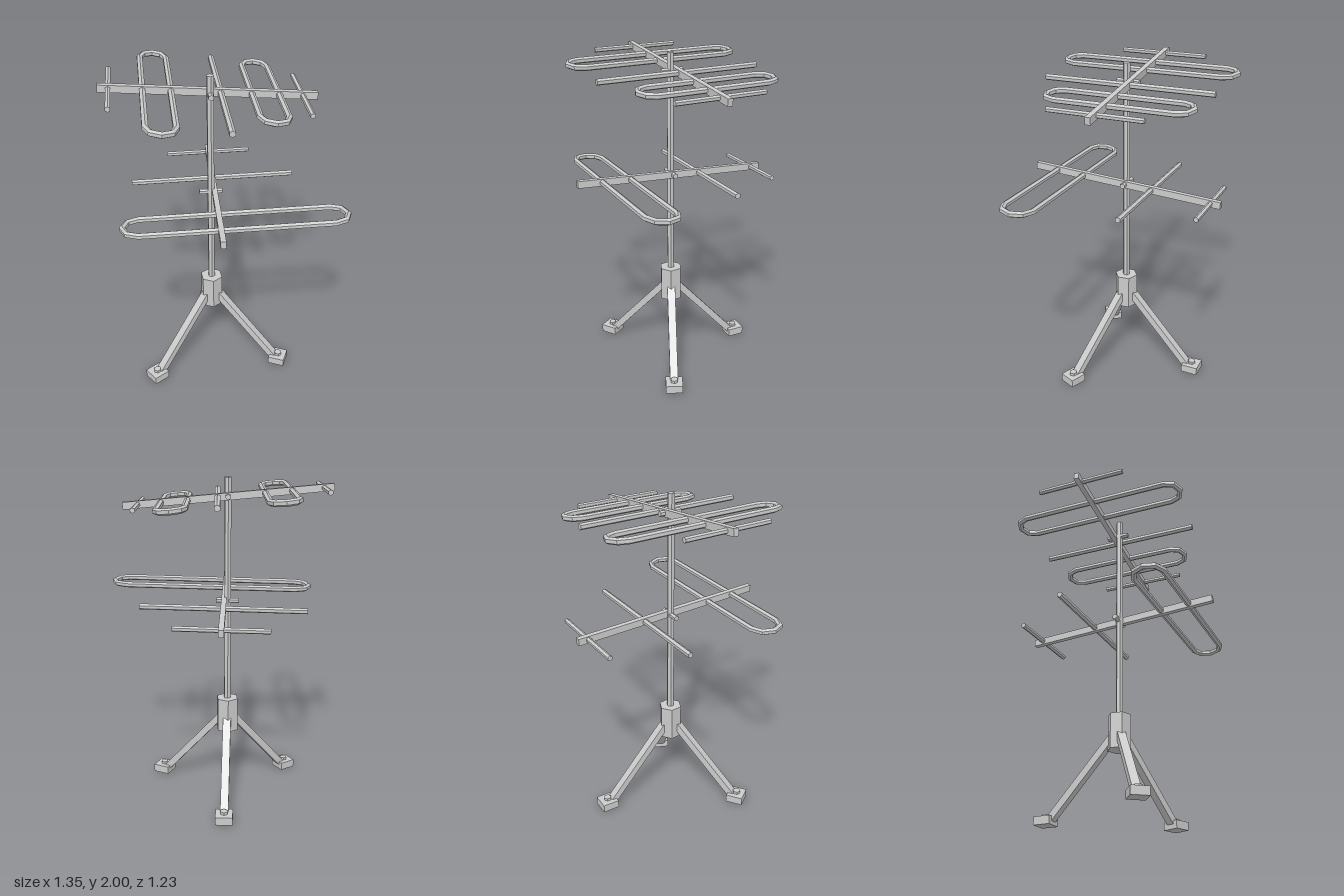
import * as THREE from 'three';

const material = new THREE.MeshStandardMaterial({ color: 0xcccccc, flatShading: true, side: THREE.DoubleSide });
const MAST_X = -0.055;

function part(name, geometry, parent, x = 0, y = 0, z = 0) {
  const mesh = new THREE.Mesh(geometry, material);
  mesh.name = name;
  mesh.position.set(x, y, z);
  parent.add(mesh);
  return mesh;
}

// Hexagonal bar along z with a ridge on top
function hexBar(radius, length) {
  return new THREE.CylinderGeometry(radius, radius, length, 6).rotateX(Math.PI / 2);
}

// Closed long loop lying flat, its length along z, with four facets at each rounded end
class LoopCurve extends THREE.Curve {
  constructor(halfLength, halfWidth) {
    super();
    this.straight = halfLength - halfWidth;
    this.r = halfWidth;
  }
  locate(u) {
    const i = Math.round(u * 10) % 10;
    const end = i < 5 ? 1 : -1;
    return { angle: (i < 5 ? i : i - 1) * Math.PI / 4, end };
  }
  getPointAt(u, target = new THREE.Vector3()) {
    const { angle, end } = this.locate(u);
    return target.set(Math.cos(angle) * this.r, 0, Math.sin(angle) * this.r + end * this.straight);
  }
  getPoint(u, target) { return this.getPointAt(u, target); }
  getTangentAt(u, target = new THREE.Vector3()) {
    const { angle } = this.locate(u);
    return target.set(-Math.sin(angle), 0, Math.cos(angle));
  }
}

function loop(halfLength, halfWidth) {
  return new THREE.TubeGeometry(new LoopCurve(halfLength, halfWidth), 10, 0.019, 6, true);
}

function createStand(root) {
  part('mast', new THREE.CylinderGeometry(0.022, 0.022, 1.6, 6), root, MAST_X, 1.2, 0);
  part('hub', new THREE.CylinderGeometry(0.072, 0.072, 0.215, 6), root, MAST_X, 0.507, 0);

  // Legs run outward along local z to a bolted foot pad
  for (const [x, z] of [[0.41, 0.23], [-0.41, 0.23], [0.058, -0.472]]) {
    const leg = new THREE.Group();
    leg.name = 'leg';
    leg.position.x = MAST_X;
    leg.rotation.y = Math.atan2(x, z);
    root.add(leg);
    const inner = 0.045, outer = 0.44, top = 0.48, bottom = 0.035;
    const strut = part('strut', new THREE.BoxGeometry(0.05, 0.042, Math.hypot(outer - inner, top - bottom)),
      leg, 0, (top + bottom) / 2, (inner + outer) / 2);
    strut.rotation.x = Math.atan2(top - bottom, outer - inner);
    const reach = Math.hypot(x, z);
    part('footPad', new THREE.BoxGeometry(0.105, 0.05, 0.105), leg, 0, 0.025, reach);
    part('footBolt', new THREE.CylinderGeometry(0.024, 0.024, 0.03, 6), leg, 0, 0.052, reach);
  }
}

// Upper array: boom across x, elements along local z
function createUpperArray(root) {
  const array = new THREE.Group();
  array.name = 'upperArray';
  array.position.set(-0.053, 1.89, -0.032);
  array.rotation.set(0, -0.076, -0.089, 'YXZ');
  root.add(array);
  part('boom', new THREE.BoxGeometry(1.245, 0.043, 0.032), array);
  part('clamp', hexBar(0.017, 0.14), array, 0, 0, 0.022);
  for (const [x, half, radius] of [[-0.563, 0.276, 0.016], [0.062, 0.52, 0.019], [0.534, 0.281, 0.016]]) {
    part('rod', hexBar(radius, half * 2), array, x);
  }
  part('longLoop', loop(0.55, 0.079), array, -0.297);
  part('shortLoop', loop(0.432, 0.079), array, 0.318, 0, -0.045);
}

// Lower array: boom along z, elements across local x
function createLowerArray(root) {
  const array = new THREE.Group();
  array.name = 'lowerArray';
  array.position.set(-0.033, 1.255, 0);
  array.rotation.set(-0.054, -0.108, 0.022, 'YXZ');
  root.add(array);
  part('boom', new THREE.BoxGeometry(0.032, 0.043, 1.225), array);
  part('clamp', hexBar(0.017, 0.14).rotateY(Math.PI / 2), array, -0.022);
  for (const [z, half, radius] of [[-0.173, 0.5, 0.018], [-0.55, 0.272, 0.016]]) {
    part('rod', hexBar(radius, half * 2).rotateY(Math.PI / 2), array, 0, 0, z);
  }
  part('wideLoop', loop(0.64, 0.09).rotateY(Math.PI / 2), array, 0.093, 0, 0.372);
}

export function createModel() {
  const root = new THREE.Group();
  root.name = 'antennaStand';
  createStand(root);
  createUpperArray(root);
  createLowerArray(root);
  return root;
}
